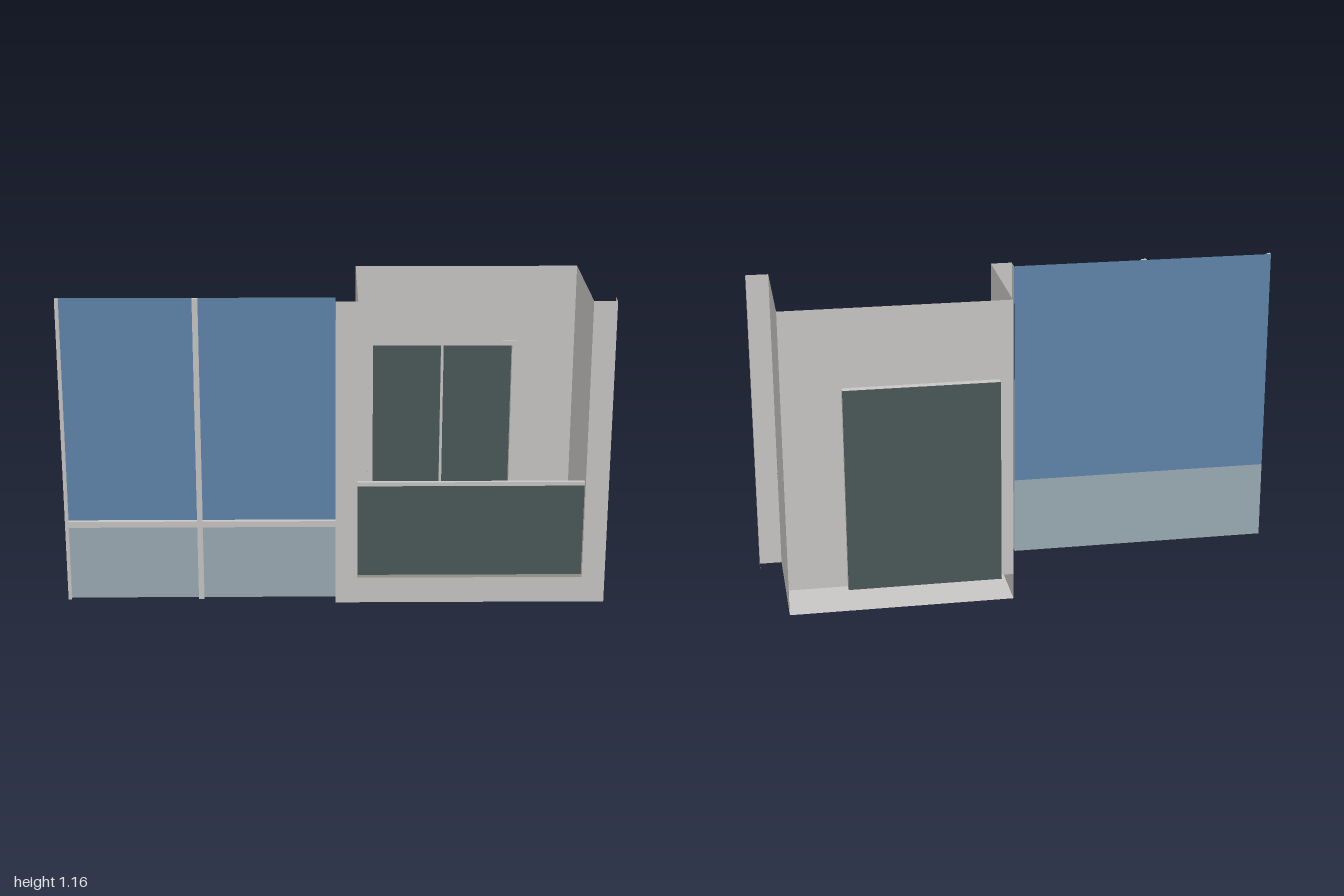
import * as THREE from 'three';

const flat = (name, color) => {
  const m = new THREE.MeshStandardMaterial({ color, side: THREE.DoubleSide });
  m.name = name;
  return m;
};

export function createModel() {
  const model = new THREE.Group();
  model.name = 'facadeWithBalcony';
  const concrete = flat('paleGrey', 0xc8c6c4);
  const floorGrey = flat('floorGrey', 0x8b8b83);
  const darkGlass = flat('darkGlass', 0x4a5858);
  const blueGlass = flat('blueGlass', 0x5f85aa);
  const paleGlass = flat('paleBlueGlass', 0x9aaab4);

  const H = 1.165, FRONT = 0.26, BACK = -0.225, L = 0.08, R = 0.915, FLOOR = 0.1;

  const add = (name, geometry, material) => {
    const mesh = new THREE.Mesh(geometry, material);
    mesh.name = name;
    model.add(mesh);
    return mesh;
  };
  // box given by its extents
  const box = (name, material, x0, x1, y0, y1, z0, z1) =>
    add(name, new THREE.BoxGeometry(x1 - x0, y1 - y0, z1 - z0), material)
      .position.set((x0 + x1) / 2, (y0 + y1) / 2, (z0 + z1) / 2);
  // flat sheets facing along z, x and y
  const sheetZ = (name, material, x0, x1, y0, y1, z) =>
    add(name, new THREE.PlaneGeometry(x1 - x0, y1 - y0), material)
      .position.set((x0 + x1) / 2, (y0 + y1) / 2, z);
  const sheetX = (name, material, x, z0, z1) => {
    const m = add(name, new THREE.PlaneGeometry(z1 - z0, H), material);
    m.rotation.y = Math.PI / 2;
    m.position.set(x, H / 2, (z0 + z1) / 2);
  };
  const sheetY = (name, material, y) => {
    const m = add(name, new THREE.PlaneGeometry(R - L, FRONT - BACK), material);
    m.rotation.x = -Math.PI / 2;
    m.position.set((L + R) / 2, y, (FRONT + BACK) / 2);
  };
  const outline = (name, points, z) => {
    const shape = new THREE.Shape(points.map(([x, y]) => new THREE.Vector2(x, y)));
    add(name, new THREE.ShapeGeometry(shape), concrete).position.z = z;
  };

  // Front surround, open at the top, with short returns on its outer edges
  outline('frontSurround',
    [[0, 0], [1, 0], [1, H], [R, H], [R, FLOOR], [L, FLOOR], [L, H], [0, H]], FRONT);
  for (const x of [0, 1]) sheetX('surroundReturn', concrete, x, 0.21, FRONT);

  // Balcony recess
  for (const x of [L, R]) sheetX('sideWall', concrete, x, BACK, FRONT);
  sheetY('balconyFloor', floorGrey, FLOOR);
  sheetY('bottomPanel', concrete, 0);
  const d0 = 0.13, d1 = 0.698, dTop = 0.87;
  outline('backWall',
    [[L, FLOOR], [d0, FLOOR], [d0, dTop], [d1, dTop], [d1, FLOOR], [R, FLOOR], [R, H], [L, H]], BACK);

  // Glazed door set into the back wall
  const zb = -0.256, zf = -0.224, w = 0.018;
  box('doorJamb', concrete, d0, d0 + w, FLOOR, dTop, zb, zf);
  box('doorJamb', concrete, d1 - w, d1, FLOOR, dTop, zb, zf);
  box('doorHead', concrete, d0 + w, d1 - w, dTop - w, dTop, zb, zf);
  box('doorSill', concrete, d0 + w, d1 - w, FLOOR, FLOOR + w, zb, zf);
  box('doorMullion', concrete, 0.409, 0.419, FLOOR + w, dTop - w, zb, zb + 0.01);
  box('doorGlass', darkGlass, d0, d1, FLOOR, dTop, -0.26, zb);

  // Balustrade
  box('balustradePanel', darkGlass, L, R, FLOOR, 0.455, 0.226, 0.234);
  box('handrail', concrete, L, R, 0.455, 0.47, 0.223, 0.237);

  // Window wall beside the balcony
  const gz = 0.207, mz = 0.225;
  sheetZ('upperGlass', blueGlass, -1, 0, 0.3, H, gz);
  sheetZ('lowerGlass', paleGlass, -1, 0, 0, 0.3, gz);
  box('edgeMullion', concrete, -1, -0.988, 0, H, gz + 0.001, mz);
  box('middleMullion', concrete, -0.512, -0.492, 0, H, gz + 0.001, mz);
  box('transom', concrete, -0.988, -0.512, 0.29, 0.313, gz + 0.001, mz);
  box('transom', concrete, -0.492, 0, 0.29, 0.313, gz + 0.001, mz);

  return model;
}
